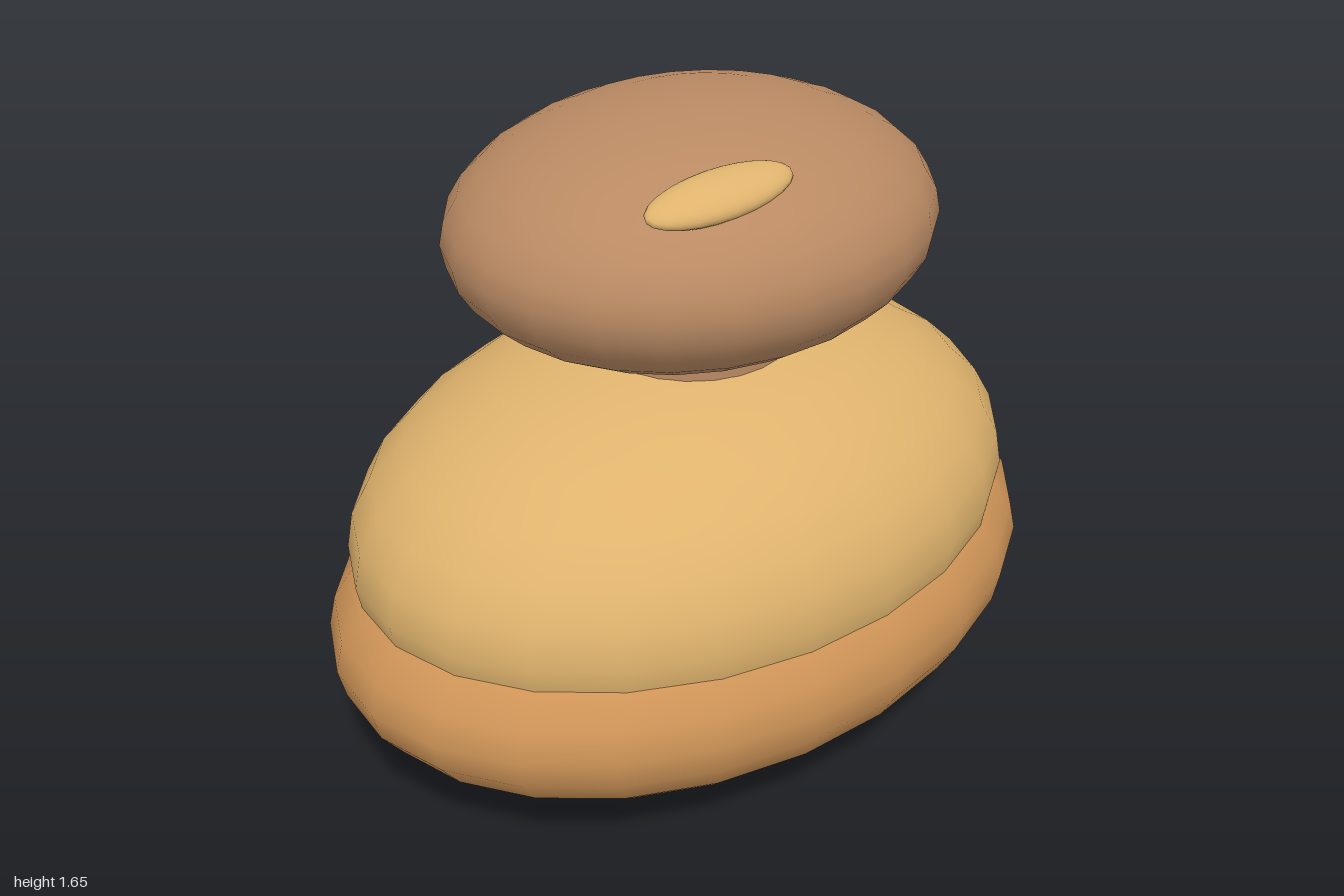
import * as THREE from 'three';

const material = (name, color) => {
  const m = new THREE.MeshStandardMaterial({ color });
  m.name = name;
  return m;
};

export function createModel() {
  const group = new THREE.Group();
  const orange = material('burnt orange', 0xd09558);
  const sand = material('sand yellow', 0xdfb36d);
  const brown = material('clay brown', 0xba8a63);

  // Smooth pebble: a sphere stretched to the given radii
  const pebble = (name, mat, radii, position) => {
    const geometry = new THREE.SphereGeometry(1, 24, 16).scale(...radii);
    const mesh = new THREE.Mesh(geometry, mat);
    mesh.name = name;
    mesh.position.set(...position);
    group.add(mesh);
    return mesh;
  };

  // Stacked stones
  pebble('bottomStone', orange, [1, 0.395, 0.737], [0, 0.4, 0]);
  pebble('middleStone', sand, [0.93, 0.46, 0.694], [0, 0.612, 0]);
  pebble('topStone', brown, [0.627, 0.295, 0.542], [0, 1.357, 0.02]);

  // Short collar joining the top stone to the middle one
  const collar = new THREE.Mesh(new THREE.CylinderGeometry(1, 1, 0.12, 24).scale(0.26, 1, 0.238), brown);
  collar.name = 'collar';
  collar.position.set(0, 1.06, 0.02);
  group.add(collar);

  // Small chip resting on the top stone
  const chip = pebble('chip', sand, [0.19, 0.038, 0.07], [-0.225, 1.569, 0.337]);
  chip.rotation.set(0.35, -0.12, 0.13);

  return group;
}
